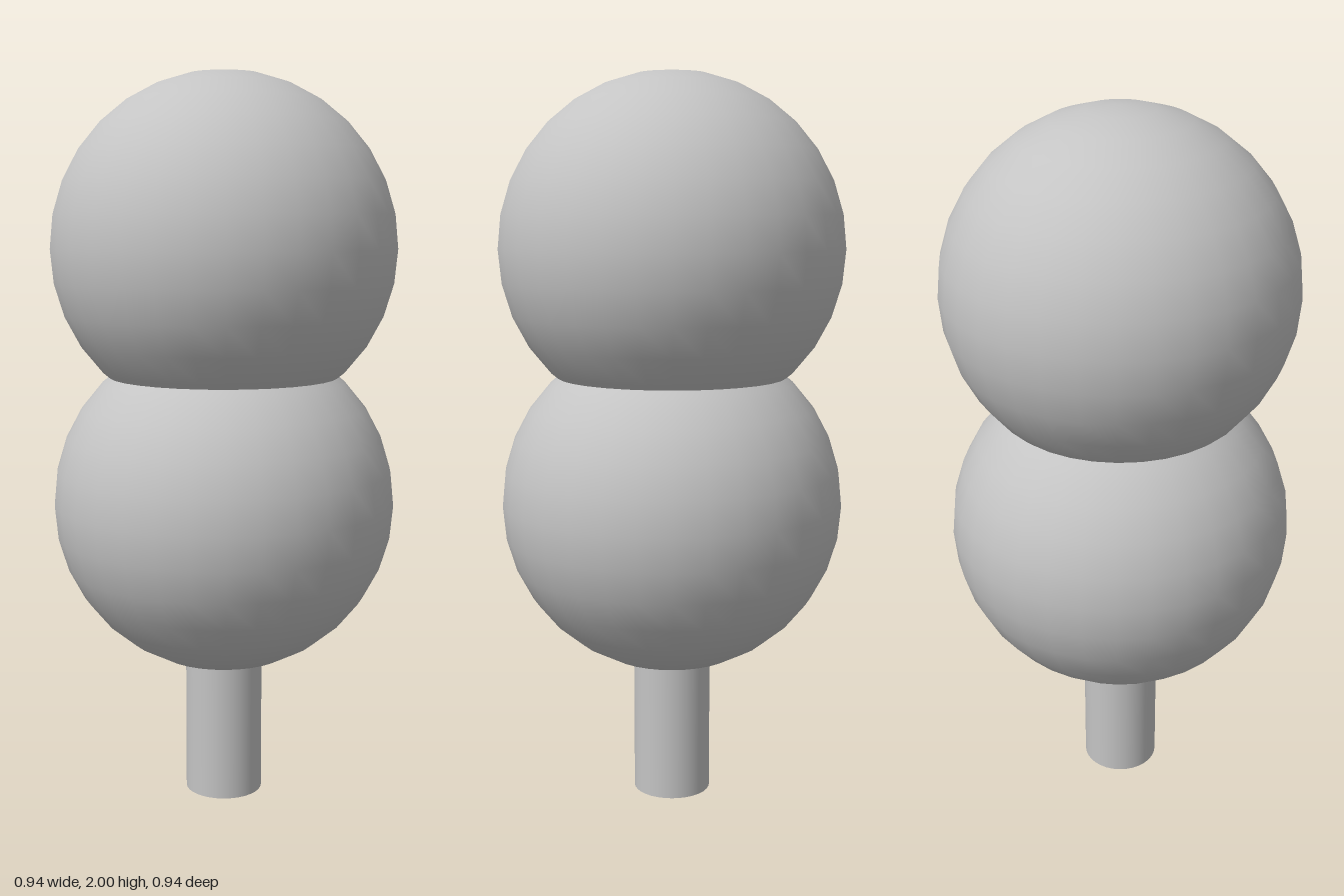
import * as THREE from 'three';

export function createModel() {
  const model = new THREE.Group();
  model.name = 'roundTopiaryTree';

  const grey = new THREE.MeshStandardMaterial({ color: 0xc4c4c4 });
  grey.name = 'light grey';

  function add(name, geometry, y) {
    const mesh = new THREE.Mesh(geometry, grey);
    mesh.name = name;
    mesh.position.y = y;
    model.add(mesh);
  }

  // Trunk, standing on the ground and reaching just inside the lower ball
  const trunkHeight = 0.42;
  add('trunk', new THREE.CylinderGeometry(0.107, 0.107, trunkHeight, 32), trunkHeight / 2);

  // Two equal foliage balls that overlap
  const radius = 0.47;
  const ball = new THREE.SphereGeometry(radius, 32, 16);
  add('lowerFoliage', ball, 0.835);
  add('upperFoliage', ball, 2 - radius);

  return model;
}
